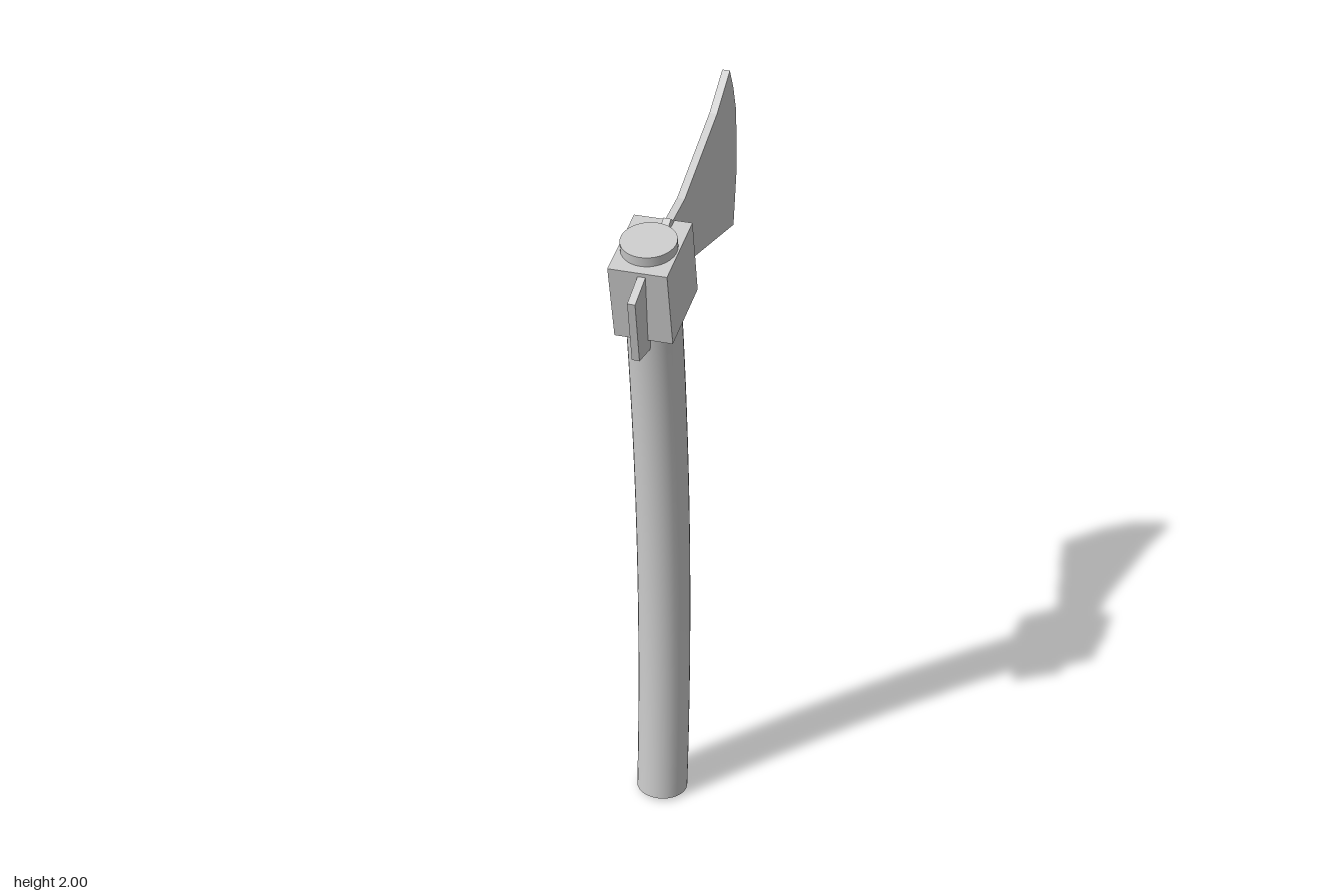
import * as THREE from 'three';

const material = new THREE.MeshStandardMaterial({ color: 0xcccccc });

function addMesh(parent, name, geometry) {
  const mesh = new THREE.Mesh(geometry, material);
  mesh.name = name;
  parent.add(mesh);
  return mesh;
}

// Round, gently bowed shaft closed by a disc at each end
function createHandle() {
  const handle = new THREE.Group();
  handle.name = 'handle';
  const radius = 0.07, sides = 32;
  const curve = new THREE.QuadraticBezierCurve3(
    new THREE.Vector3(0, 0.006, 0.16),
    new THREE.Vector3(0, 0.9, 0.095),
    new THREE.Vector3(0, 1.782, 0.23)
  );
  addMesh(handle, 'shaft', new THREE.TubeGeometry(curve, 24, radius, sides));
  for (const [name, t, dir] of [['bottomCap', 0, -1], ['topCap', 1, 1]]) {
    const cap = addMesh(handle, name, new THREE.CircleGeometry(radius, sides));
    cap.position.copy(curve.getPoint(t));
    const outward = curve.getTangent(t).multiplyScalar(dir);
    cap.quaternion.setFromUnitVectors(new THREE.Vector3(0, 0, 1), outward);
  }
  return handle;
}

// Thin plate running through the socket: poll in front, flared edge behind
function createBladeGeometry() {
  const thickness = 0.02;
  const outline = [
    [0.386, 1.693], [0.317, 1.73], [0.165, 1.78], [0.14, 1.797], [0.125, 1.785],
    [0.04, 1.8], [-0.19, 1.922], [-0.28, 2.0], [-0.318, 1.935], [-0.352, 1.857],
    [-0.386, 1.677], [-0.386, 1.503], [0.0, 1.598], [0.08, 1.572],
    [0.265, 1.497], [0.34, 1.508],
  ].map(([z, y]) => new THREE.Vector2(z, y));
  const geometry = new THREE.ExtrudeGeometry(new THREE.Shape(outline), {
    depth: thickness, bevelEnabled: false,
  });
  geometry.translate(0, 0, -thickness / 2);
  geometry.rotateY(-Math.PI / 2);
  // Slight lean and twist of the plate
  const p = geometry.attributes.position;
  for (let i = 0; i < p.count; i++) {
    p.setX(i, p.getX(i) + 0.005 + 0.026 * p.getZ(i) + 0.04 * (p.getY(i) - 1.677));
  }
  geometry.computeVertexNormals();
  return geometry;
}

export function createModel() {
  const axe = new THREE.Group();
  axe.name = 'axe';
  axe.add(createHandle());

  // Square block clamping the blade to the handle
  const socket = addMesh(axe, 'socket', new THREE.BoxGeometry(0.149, 0.21, 0.21));
  socket.position.set(-0.001, 1.656, 0.198);
  socket.rotation.set(0.18, 0.06, 0);

  addMesh(axe, 'blade', createBladeGeometry());
  return axe;
}
